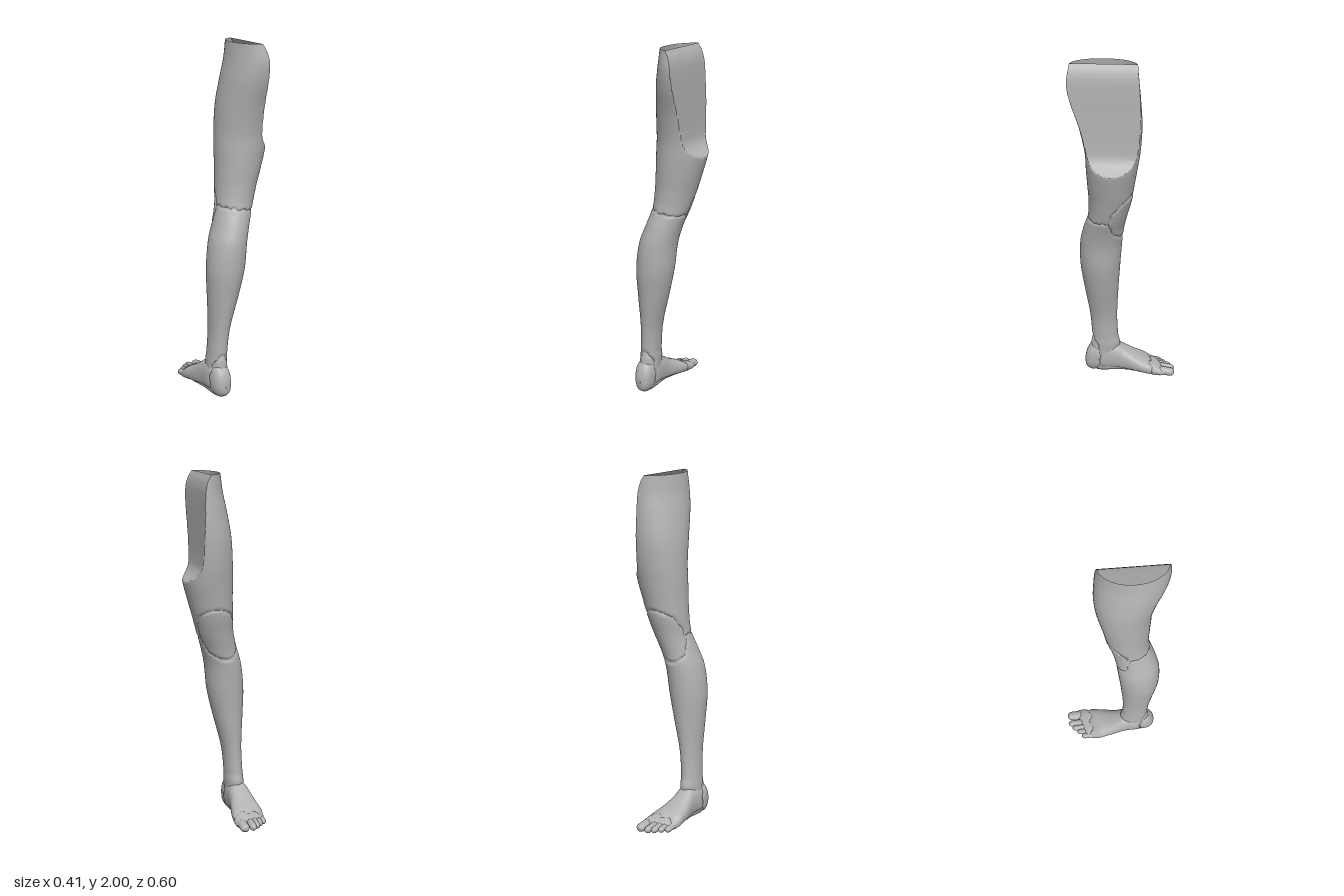
import * as THREE from 'three';
import { toCreasedNormals } from 'three/addons/utils/BufferGeometryUtils.js';

const skin = new THREE.MeshStandardMaterial({ color: 0xb2b2b2, side: THREE.DoubleSide });
skin.name = 'plain grey';

// Smooth interpolation through rows whose first entry is the key (ascending)
function sample(rows, t) {
  const n = rows.length;
  let k = 0;
  while (k < n - 2 && t > rows[k + 1][0]) k++;
  const a = rows[k], b = rows[k + 1], h = b[0] - a[0], s = (t - a[0]) / h;
  const slope = (i, c) => {
    const p = rows[Math.max(i - 1, 0)], q = rows[Math.min(i + 1, n - 1)];
    return (q[c] - p[c]) / (q[0] - p[0]);
  };
  return a.slice(1).map((v, i) => {
    const c = i + 1, s2 = s * s, s3 = s2 * s;
    return v * (2 * s3 - 3 * s2 + 1) + b[c] * (3 * s2 - 2 * s3)
      + h * (slope(k, c) * (s3 - 2 * s2 + s) + slope(k + 1, c) * (s3 - s2));
  });
}

// Loft of rings; each quad is sorted into a named part, seams are pressed in as grooves
function loft(group, rings, sides, ring, seams, partOf) {
  const pos = [], parts = {}, pts = [];
  for (let i = 0; i <= rings; i++) {
    for (let j = 0; j <= sides; j++) {
      const { p, c } = ring(i / rings, (j % sides) / sides * Math.PI * 2);
      pts.push(p.clone());
      const depth = seams(p).reduce((m, d) => Math.max(m, Math.exp(-((d / 0.006) ** 2))), 0) * 0.007;
      const inward = c.clone().sub(p);
      p.addScaledVector(inward.normalize(), Math.min(depth, c.distanceTo(p) * 0.5));
      pos.push(p.x, p.y, p.z);
    }
  }
  for (let i = 0; i < rings; i++) {
    for (let j = 0; j < sides; j++) {
      const a = i * (sides + 1) + j, b = a + 1, u = a + sides + 1;
      (parts[partOf(pts[a])] ??= []).push(a, u, b, b, u, u + 1);
    }
  }
  const attribute = new THREE.Float32BufferAttribute(pos, 3);
  for (const [name, index] of Object.entries(parts)) {
    const g = new THREE.BufferGeometry();
    g.setAttribute('position', attribute);
    g.setIndex(index);
    const mesh = new THREE.Mesh(toCreasedNormals(g, 0.9), skin);
    mesh.name = name;
    group.add(mesh);
  }
}

// Leg sections: y, xMin, xMax, zMin, zMax
const legRows = [
  [0.1, -0.165, -0.06, 0.04, 0.215], [0.2, -0.164, -0.055, 0.03, 0.2], [0.25, -0.16, -0.055, 0.04, 0.195],
  [0.4, -0.155, -0.04, 0.045, 0.205], [0.6, -0.165, 0.01, 0.035, 0.235], [0.75, -0.17, 0.043, 0.024, 0.254],
  [0.9, -0.152, 0.06, 0.012, 0.252], [1.0, -0.12, 0.085, 0, 0.23], [1.1, -0.092, 0.12, -0.022, 0.2],
  [1.2, -0.084, 0.15, -0.048, 0.195], [1.3, -0.08, 0.18, -0.063, 0.2], [1.4, -0.079, 0.207, -0.08, 0.205],
  [1.5, -0.075, 0.22, -0.095, 0.21], [1.65, -0.067, 0.235, -0.105, 0.24], [1.8, -0.045, 0.25, -0.098, 0.285],
  [1.9, -0.025, 0.25, -0.09, 0.3], [2, -0.01, 0.21, -0.08, 0.285],
];
// Flat cut on the inner thigh: y, x limit
const cutRows = [[1.38, 0.23], [1.4, 0.205], [1.45, 0.155], [1.5, 0.136], [1.7, 0.127], [1.9, 0.12], [1.96, 0.107], [2, 0.085]];

// Foot sections, heel to toes: -z, xMin, xMax, yMin, yMax
const footRows = [
  [-0.239, -0.112, -0.108, 0.075, 0.08], [-0.234, -0.135, -0.085, 0.04, 0.115], [-0.22, -0.153, -0.07, 0.02, 0.155],
  [-0.19, -0.168, -0.06, 0.008, 0.19], [-0.13, -0.175, -0.055, 0.005, 0.2], [-0.05, -0.18, -0.054, 0.01, 0.195],
  [0, -0.19, -0.05, 0.012, 0.165], [0.06, -0.2, -0.035, 0.012, 0.13], [0.12, -0.207, -0.021, 0.008, 0.104],
  [0.17, -0.203, -0.013, 0.007, 0.08], [0.2, -0.2, -0.016, 0.01, 0.068], [0.215, -0.18, -0.035, 0.025, 0.055],
  [0.218, -0.12, -0.1, 0.038, 0.042],
];

// Seam positions, slightly wavy
const wave = (t) => 0.004 * Math.sin(t * 90) + 0.002 * Math.sin(t * 230);
const kneeCap = (p) => {
  const t = (p.y - 1.07) / 0.17;
  return (p.z - 0.075 + 0.12 * t * t - wave(p.y)) / Math.hypot(1, 1.4 * t);
};
const kneeBack = (p) => p.y - 1.085 + 0.15 * p.x - wave(p.x + p.z);
const heelEdge = (p) => p.z - 0.145 - 0.045 * ((p.y - 0.11) / 0.13) ** 2 - wave(p.y);
const soleEdge = (p) => p.y - 0.032 - 0.1 * p.z - wave(p.z) * 0.5;
const toeEdge = (p) => p.z + 0.156 - 0.01 * Math.sin(p.x * 75);

export function createModel() {
  const model = new THREE.Group();
  model.name = 'leg';

  // Thigh, kneecap, shin and ankle; the thigh is open at the top
  loft(model, 290, 88, (t, a) => {
    const y = 0.1 + 1.9 * t;
    const [x0, x1, z0, z1] = sample(legRows, y);
    const c = new THREE.Vector3((x0 + x1) / 2, y, (z0 + z1) / 2);
    let x = c.x + Math.cos(a) * (x1 - x0) / 2;
    if (y > 1.38) x = Math.min(x, sample(cutRows, y)[0]);
    return { p: new THREE.Vector3(x, y, c.z + Math.sin(a) * (z1 - z0) / 2), c };
  }, (p) => {
    if (p.y > 1.3) return [];
    if (p.y < 0.3) return [heelEdge(p)];
    if (p.y < 0.85) return [];
    return kneeCap(p) > 0 ? [kneeCap(p), kneeBack(p)] : [kneeCap(p)];
  }, (p) => {
    if (p.y > 0.85 && p.y < 1.3 && kneeCap(p) < 0) return 'kneecap';
    if (p.y < 0.3 && heelEdge(p) > 0) return 'heelTendon';
    return kneeBack(p) > 0 ? 'thigh' : 'shin';
  });

  // Foot with heel, instep, sole and ball of the toes
  const soft = (v) => Math.sign(v) * Math.abs(v) ** 0.85;
  loft(model, 120, 80, (t, a) => {
    const s = -0.239 + 0.457 * t;
    const [x0, x1, y0, y1] = sample(footRows, s);
    const x = (x0 + x1) / 2 + soft(Math.cos(a)) * (x1 - x0) / 2;
    const y = (y0 + y1) / 2 + soft(Math.sin(a)) * (y1 - y0) / 2;
    const front = THREE.MathUtils.smoothstep(s, 0.08, 0.2);
    const z = -s - 0.35 * front * (x + 0.11);
    return { p: new THREE.Vector3(x, y, z), c: new THREE.Vector3((x0 + x1) / 2, (y0 + y1) / 2, z) };
  }, (p) => {
    if (toeEdge(p) < 0) return [toeEdge(p)];
    return heelEdge(p) > 0 ? [heelEdge(p)] : [toeEdge(p), heelEdge(p), soleEdge(p)];
  }, (p) => {
    if (toeEdge(p) < 0) return 'toeBase';
    if (heelEdge(p) > 0) return 'heel';
    return soleEdge(p) > 0 ? 'instep' : 'sole';
  });

  // Toes: x, tip z, half width, half height
  const toes = [
    [-0.046, -0.3, 0.027, 0.024], [-0.096, -0.298, 0.02, 0.02], [-0.126, -0.277, 0.017, 0.019],
    [-0.153, -0.247, 0.017, 0.018], [-0.181, -0.221, 0.018, 0.018],
  ];
  toes.forEach(([x, tip, w, h], i) => {
    const half = 0.05;
    const toe = new THREE.Mesh(new THREE.CapsuleGeometry(1, 2, 8, 18), skin);
    toe.geometry.scale(w, half / 2, h);
    toe.geometry.rotateX(-Math.PI / 2 - 0.16);
    toe.position.set(x, 0.04, tip + half);
    toe.name = 'toe' + (i + 1);
    model.add(toe);
  });
  return model;
}
